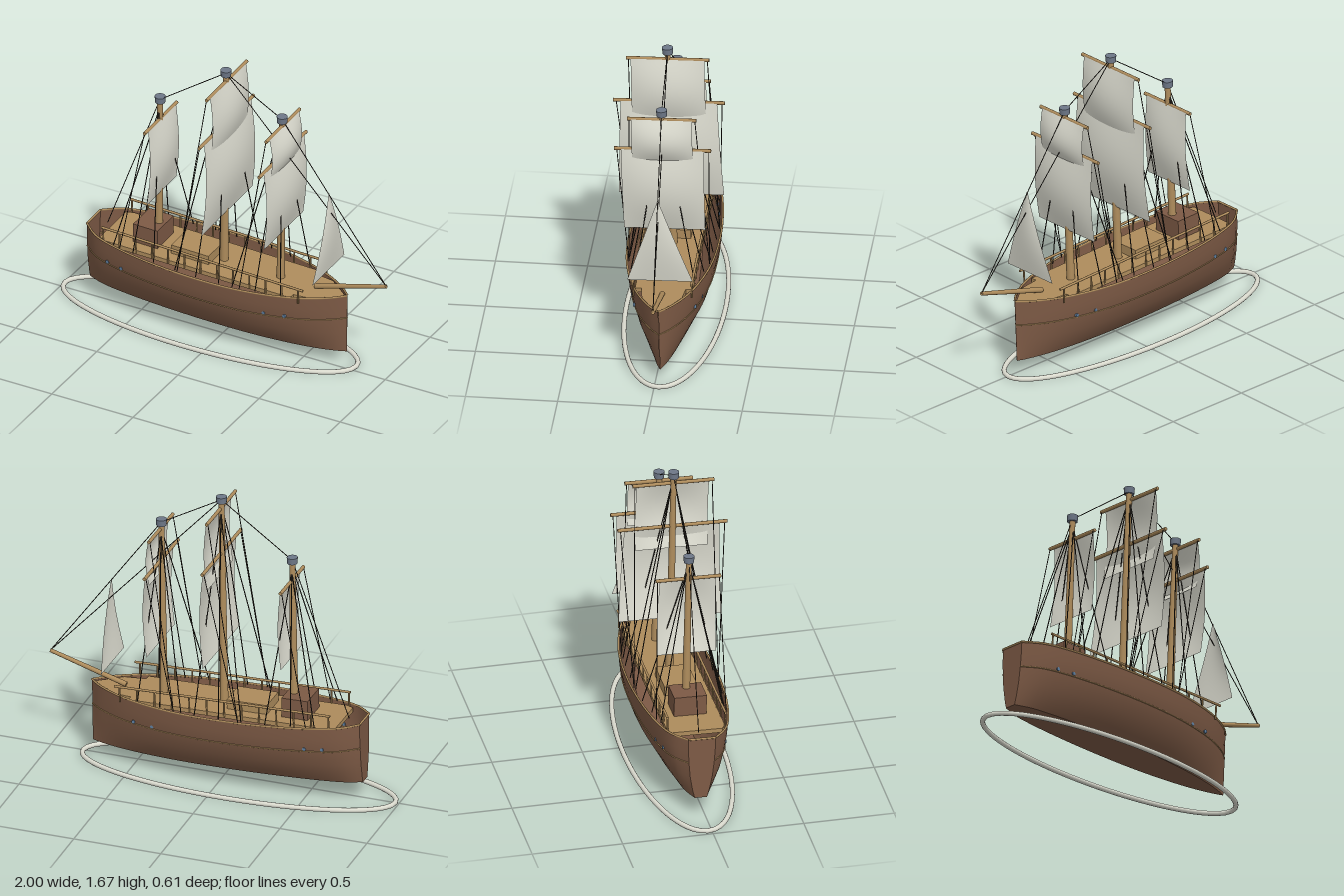
import * as THREE from 'three';
import { toCreasedNormals } from 'three/addons/utils/BufferGeometryUtils.js';

const mat = (name, color, side = THREE.FrontSide) => {
  const m = new THREE.MeshStandardMaterial({ color, side });
  m.name = name;
  return m;
};
const V = (x, y, z) => new THREE.Vector3(x, y, z);

// Half-widths of the hull along its length, and how the section narrows downwards
const PLAN = [[-0.817, 0.075], [-0.72, 0.152], [-0.55, 0.203], [-0.3, 0.237], [-0.05, 0.246],
  [0.2, 0.23], [0.4, 0.188], [0.55, 0.135], [0.68, 0.06], [0.747, 0.001]];
const SECTION = [[1, 1], [0.8, 0.985], [0.6, 0.93], [0.35, 0.81], [0.12, 0.6], [0, 0.45]];
const KEEL = 0.107;
const planCurve = new THREE.CatmullRomCurve3(PLAN.map(([x, w]) => V(x, w, 0)));
const STATIONS = planCurve.getPoints(36);
const sheer = x => 0.455 + 0.02 * x * x;
const fullness = v => {
  const i = Math.max(1, SECTION.findIndex(s => s[0] <= v));
  const [v0, f0] = SECTION[i - 1], [v1, f1] = SECTION[i];
  return f0 + (f1 - f0) * (v0 - v) / (v0 - v1);
};
const hullPoint = (p, v, side) =>
  V(p.x, KEEL + (sheer(p.x) - KEEL) * v, side * Math.max(0, p.y) * fullness(v));
const stationAt = x => STATIONS.reduce((a, b) => Math.abs(b.x - x) < Math.abs(a.x - x) ? b : a);

function hullGeometry() {
  const pos = [], idx = [], n = SECTION.length * 2;
  for (const p of STATIONS) {
    for (const [v] of SECTION) pos.push(...hullPoint(p, v, 1).toArray());
    for (const [v] of [...SECTION].reverse()) pos.push(...hullPoint(p, v, -1).toArray());
  }
  for (let i = 0; i < STATIONS.length - 1; i++) {
    for (let j = 0; j < n - 1; j++) {
      const a = i * n + j, b = a + n;
      idx.push(a, a + 1, b, a + 1, b + 1, b);
    }
  }
  for (let j = 1; j < n - 1; j++) idx.push(0, j + 1, j); // transom
  const g = new THREE.BufferGeometry();
  g.setAttribute('position', new THREE.Float32BufferAttribute(pos, 3));
  g.setIndex(idx);
  return toCreasedNormals(g, 0.5);
}

// Billowed cloth across the ship, facing the bow
function sailGeometry(topHalf, bottomHalf, top, bottom, bulge) {
  const g = new THREE.PlaneGeometry(2, 1, 14, 14).rotateY(Math.PI / 2);
  const p = g.attributes.position;
  for (let i = 0; i < p.count; i++) {
    const v = 0.5 - p.getY(i), u = p.getZ(i);
    const half = topHalf + (bottomHalf - topHalf) * v;
    p.setXYZ(i, bulge * Math.sin(Math.PI * v) * (1 - 0.6 * u * u), top + (bottom - top) * v, u * half);
  }
  g.computeVertexNormals();
  return g;
}

export function createModel() {
  const wood = mat('hull brown', 0x7d5a45, THREE.DoubleSide);
  const timber = mat('light timber', 0xae8c5c);
  const cloth = mat('sail cloth', 0xdbdbcf, THREE.DoubleSide);
  const metal = mat('slate metal', 0x6e7888);
  const tar = mat('rigging', 0x2c2721);
  const glass = mat('porthole blue', 0x5f7fa0);

  const model = new THREE.Group();
  const ship = new THREE.Group();
  ship.name = 'ship';
  ship.position.z = -0.03;
  ship.rotation.set(0.024, 0, -0.022); // slight heel
  model.add(ship);

  const add = (name, geo, material, parent = ship) => {
    const m = new THREE.Mesh(geo, material);
    m.name = name;
    parent.add(m);
    return m;
  };
  // Round bar between two points
  const bar = (name, a, b, r0, r1, material, sides = 10) => {
    const m = add(name, new THREE.CylinderGeometry(r1, r0, a.distanceTo(b), sides), material);
    m.position.copy(a).lerp(b, 0.5);
    m.quaternion.setFromUnitVectors(V(0, 1, 0), b.clone().sub(a).normalize());
    return m;
  };
  const rope = (a, b, r = 0.0025) => bar('rope', a, b, r, r, tar, 5);
  const box = (name, x0, x1, y0, y1, half, material) => {
    const m = add(name, new THREE.BoxGeometry(x1 - x0, y1 - y0, half * 2), material);
    m.position.set((x0 + x1) / 2, (y0 + y1) / 2, 0);
  };

  // Hull with gunwale and wale strips
  add('hull', hullGeometry(), wood);
  for (const side of [1, -1]) {
    for (const [name, v, r] of [['gunwale', 1, 0.006], ['wale', 0.6, 0.004]]) {
      const path = new THREE.CatmullRomCurve3(STATIONS.map(p => hullPoint(p, v, side)));
      add(name, new THREE.TubeGeometry(path, 60, r, 6), timber);
    }
    for (const x of [-0.635, -0.54, 0.335, 0.45]) {
      const port = add('porthole', new THREE.CylinderGeometry(0.01, 0.01, 0.012, 12).rotateX(Math.PI / 2), glass);
      port.position.copy(hullPoint(stationAt(x), 0.64, side)).setX(x);
    }
  }
  bar('transomRail', hullPoint(STATIONS[0], 1, -1), hullPoint(STATIONS[0], 1, 1), 0.006, 0.006, timber);

  // Decks
  const outline = [[-0.7, 0.14], [-0.66, 0.16], [0.48, 0.155], [0.48, 0.12], [0.6, 0.105], [0.73, 0.008]];
  const shape = new THREE.Shape([...outline, ...[...outline].reverse().map(([x, z]) => [x, -z])]
    .map(([x, z]) => new THREE.Vector2(x, z)));
  const deck = new THREE.ExtrudeGeometry(shape, { depth: 0.025, bevelEnabled: false });
  add('deck', deck.rotateX(-Math.PI / 2).translate(0, 0.43, 0), timber);
  box('hatch', -0.29, -0.06, 0.45, 0.508, 0.09, timber);
  box('cabin', -0.525, -0.375, 0.45, 0.567, 0.09, wood);

  // Side rails on posts
  for (const side of [1, -1]) {
    bar('rail', V(-0.68, 0.535, side * 0.16), V(0.56, 0.525, side * 0.16), 0.007, 0.007, timber, 8);
    for (let i = 0; i < 13; i++) {
      const x = -0.67 + i * 0.1;
      bar('railPost', V(x, 0.435, side * 0.158), V(x, 0.53, side * 0.16), 0.005, 0.005, timber, 6);
    }
  }

  // Bowsprit
  const tip = V(0.985, 0.602, 0);
  bar('bowsprit', V(0.55, 0.465, 0), tip, 0.015, 0.011, timber);

  // Masts; each sail: yard height, yard half-length, cloth half-widths, foot height, bulge
  const masts = [
    { x: -0.415, top: 1.375, sails: [[1.235, 0.18, 0.155, 0.165, 0.77, 0.04]] },
    { x: -0.012, top: 1.675, sails: [[1.605, 0.225, 0.2, 0.2, 1.2, 0.045], [1.34, 0.303, 0.262, 0.285, 0.77, 0.05]] },
    { x: 0.336, top: 1.488, sails: [[1.43, 0.188, 0.165, 0.165, 1.16, 0.045], [1.243, 0.263, 0.225, 0.22, 0.755, 0.045]] },
  ];
  for (const { x, top, sails } of masts) {
    bar('mast', V(x, 0.43, 0), V(x, top - 0.02, 0), 0.023, 0.016, timber, 14);
    add('mastCap', new THREE.CylinderGeometry(0.03, 0.028, 0.036, 16), metal).position.set(x, top - 0.018, 0);
    for (const [y, yard, w0, w1, foot, bulge] of sails) {
      bar('yard', V(x + 0.004, y, -yard), V(x + 0.004, y, yard), 0.01, 0.01, timber);
      add('sail', sailGeometry(w0, w1, y, foot, bulge), cloth).position.x = x + 0.014;
    }
    // Shrouds and braces
    for (const side of [1, -1]) {
      for (const dx of [-0.18, -0.05, 0.09]) {
        const end = hullPoint(stationAt(x + dx), 1, side * 0.93);
        rope(V(x, top - 0.08, side * 0.01), end.setX(x + dx), 0.003);
      }
      for (const [y, yard] of sails) {
        const end = hullPoint(stationAt(x - 0.15), 1, side * 0.95);
        rope(V(x, y, side * yard * 0.95), end);
      }
    }
  }

  // Jib
  add('jib', sailGeometry(0.003, 0.178, 1.085, 0.592, 0.022), cloth).position.x = 0.628;

  // Stays from masthead to masthead and down to both ends
  const [aft, main, fore] = masts.map(m => V(m.x, m.top - 0.02, 0));
  const stays = [[V(-0.73, 0.46, 0), aft], [aft, main], [main, fore], [fore, tip], [main, tip]];
  stays.forEach(([a, b]) => rope(a, b));

  // Water ring around the ship
  const ring = [];
  for (let i = 0; i < 48; i++) {
    const a = i / 48 * Math.PI * 2;
    ring.push(V(-0.09 + 0.897 * Math.cos(a), 0.0145, -0.025 + 0.267 * Math.sin(a)));
  }
  const loop = new THREE.CatmullRomCurve3(ring, true);
  add('waterRing', new THREE.TubeGeometry(loop, 96, 0.0135, 10, true), cloth, model);

  return model;
}
